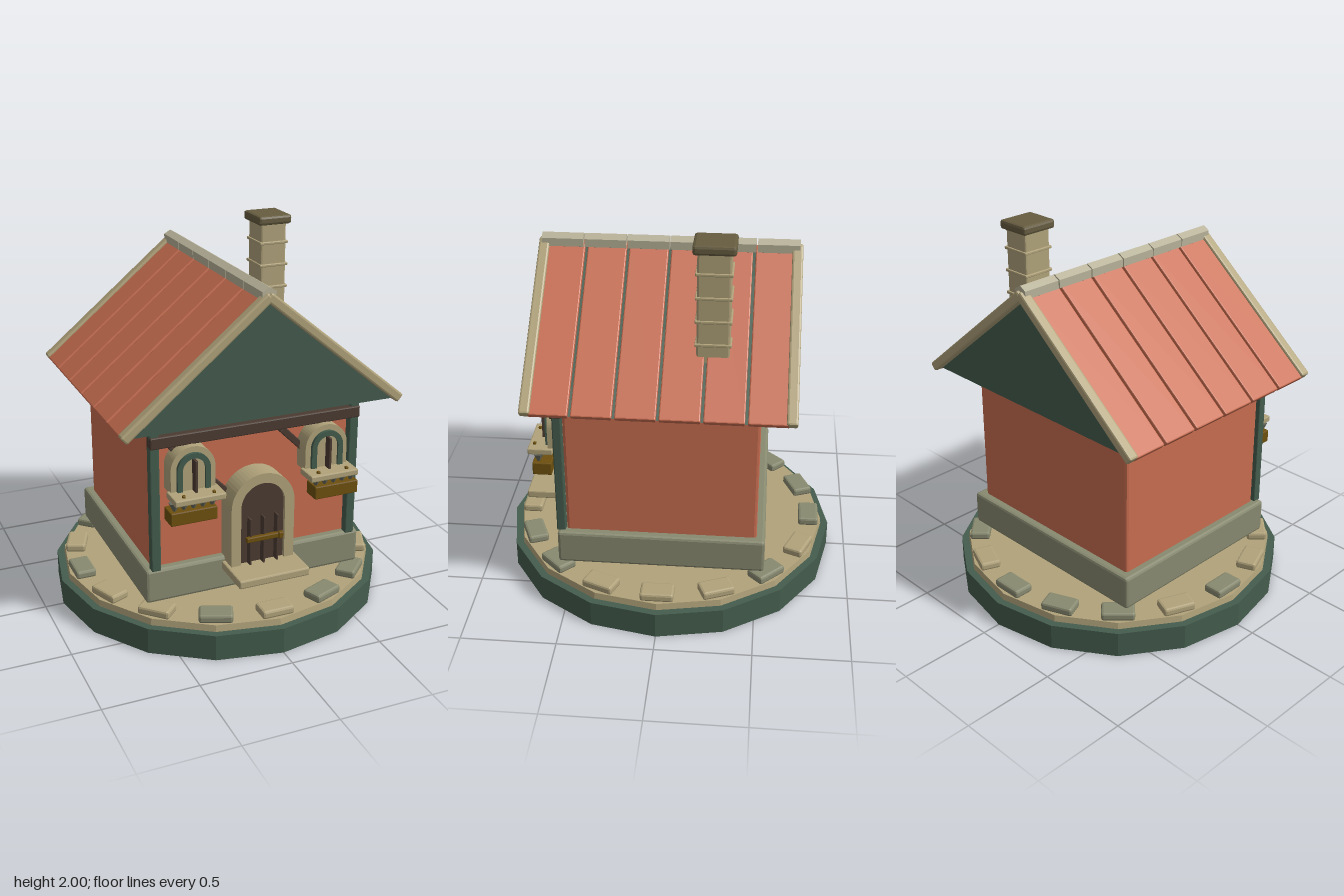
import * as THREE from 'three';
import { RoundedBoxGeometry } from 'three/addons/geometries/RoundedBoxGeometry.js';

const mat = (name, color) => {
  const m = new THREE.MeshStandardMaterial({ color });
  m.name = name;
  return m;
};

export function createModel() {
  const model = new THREE.Group();
  model.name = 'cottage';
  const terracotta = mat('terracotta', 0xc86d50);
  const green = mat('darkGreen', 0x445c4d);
  const tan = mat('sandstone', 0xb0a27a);
  const stone = mat('greyStone', 0x888a70);
  const wood = mat('darkWood', 0x4b3b31);
  const brass = mat('brass', 0x6e500e);
  const cap = mat('chimneyCap', 0x665c40);
  const pale = mat('paleRidge', 0xb8b299);
  const leaf = mat('plantGrey', 0x686a5c);

  const add = (parent, name, geo, material, x = 0, y = 0, z = 0) => {
    const m = new THREE.Mesh(geo, material);
    m.name = name;
    m.position.set(x, y, z);
    parent.add(m);
    return m;
  };
  const flat = (geo) => {
    const g = geo.index ? geo.toNonIndexed() : geo;
    g.computeVertexNormals();
    return g;
  };
  // Box given by size, with a small chamfer
  const block = (w, h, d, bevel = 0.006) => flat(new RoundedBoxGeometry(w, h, d, 1, bevel));
  const cyl = (r0, r1, h, n) => flat(new THREE.CylinderGeometry(r0, r1, h, n));
  // Solid arched panel
  const archPanel = (r, y0, spring, depth) => {
    const s = new THREE.Shape();
    s.moveTo(-r, y0);
    s.lineTo(r, y0);
    s.lineTo(r, spring);
    s.absarc(0, spring, r, 0, Math.PI, false);
    s.closePath();
    return new THREE.ExtrudeGeometry(s, { depth, bevelEnabled: false, curveSegments: 14 });
  };
  // Arched surround, open at the bottom
  const archFrame = (ro, ri, y0, spring, depth) => {
    const s = new THREE.Shape();
    s.moveTo(ri, y0);
    s.lineTo(ro, y0);
    s.lineTo(ro, spring);
    s.absarc(0, spring, ro, 0, Math.PI, false);
    s.lineTo(-ro, y0);
    s.lineTo(-ri, y0);
    s.lineTo(-ri, spring);
    s.absarc(0, spring, ri, Math.PI, 0, true);
    s.closePath();
    return new THREE.ExtrudeGeometry(s, { depth, bevelEnabled: false, curveSegments: 14 });
  };

  // Round base with a ring of paving stones
  add(model, 'base', cyl(0.9, 0.9, 0.14, 16), green, 0, 0.07);
  add(model, 'basePaving', cyl(0.855, 0.86, 0.035, 16), tan, 0, 0.1575);
  const tanStones = [0, 3, 4, 5, 7, 11, 13, 14];
  for (let i = 0; i < 16; i++) {
    const a = (i * Math.PI) / 8;
    const p = add(model, 'pavingStone', block(0.175, 0.045, 0.11, 0.012), tanStones.includes(i) ? tan : stone,
      Math.sin(a) * 0.785, 0.197, Math.cos(a) * 0.785);
    p.rotation.y = a;
  }

  // Plinth, walls and front timbers
  add(model, 'plinth', block(1.21, 0.185, 1.09, 0.015), stone, 0, 0.3175);
  add(model, 'walls', block(1.12, 0.8, 1.0, 0.015), terracotta, 0, 0.785);
  add(model, 'frontBeam', block(1.15, 0.062, 0.058), wood, 0, 1.107, 0.532);
  for (const s of [-1, 1]) {
    add(model, 'cornerPost', block(0.05, 0.79, 0.047), green, s * 0.55, 0.8, 0.527);
    const brace = add(model, 'brace', block(0.43, 0.036, 0.03, 0.004), wood, s * 0.3, 0.91, 0.512);
    brace.rotation.z = -Math.PI / 4;
  }

  // Roof core
  const gable = new THREE.Shape();
  gable.moveTo(-0.73, 1.185);
  gable.lineTo(0.73, 1.185);
  gable.lineTo(0, 1.79);
  gable.closePath();
  add(model, 'gableBody', new THREE.ExtrudeGeometry(gable, { depth: 1.26, bevelEnabled: false }), green, 0, 0, -0.63);

  // Roof panels and rake boards on both slopes
  const pitch = Math.atan2(0.62, 0.75);
  const slopeLength = Math.hypot(0.62, 0.75);
  for (const s of [-1, 1]) {
    const slope = new THREE.Group();
    slope.name = s > 0 ? 'leftRoofSlope' : 'rightRoofSlope';
    slope.position.set(s * 0.375, 1.51, 0);
    slope.rotation.z = -s * pitch;
    model.add(slope);
    for (let i = 0; i < 6; i++) {
      add(slope, 'roofPanel', block(slopeLength, 0.035, 0.2), terracotta, 0, -0.0175, (i - 2.5) * 0.2145);
    }
    for (const e of [-1, 1]) {
      add(slope, 'rakeBoard', block(slopeLength, 0.05, 0.055, 0.01), tan, 0, -0.01, e * 0.6475);
    }
  }
  // Ridge caps
  for (let i = 0; i < 6; i++) {
    const r = add(model, 'ridgeCap', cyl(0.042, 0.042, 0.214, 6), pale, 0, 1.813, (i - 2.5) * 0.221);
    r.rotation.x = Math.PI / 2;
  }

  // Chimney
  const chimney = new THREE.Group();
  chimney.name = 'chimney';
  chimney.position.set(0.413, 0, -0.25);
  model.add(chimney);
  add(chimney, 'chimneyStack', block(0.15, 0.6, 0.165, 0.01), tan, 0, 1.67);
  for (let i = 0; i < 4; i++) {
    add(chimney, 'chimneyBand', block(0.166, 0.016, 0.182, 0.004), tan, 0, 1.48 + i * 0.123);
  }
  add(chimney, 'chimneyCap', block(0.195, 0.05, 0.21, 0.014), cap, 0, 1.975);

  // Door
  const door = new THREE.Group();
  door.name = 'door';
  model.add(door);
  add(door, 'doorSurround', archFrame(0.175, 0.122, 0.385, 0.71, 0.13), tan, 0, 0, 0.5);
  add(door, 'doorLeaf', archPanel(0.122, 0.385, 0.71, 0.11), wood, 0, 0, 0.5);
  for (const x of [-0.075, 0, 0.075]) {
    add(door, 'doorBatten', block(0.01, 0.26, 0.04, 0.002), wood, x, 0.52, 0.628);
  }
  add(door, 'doorLatch', block(0.205, 0.027, 0.025, 0.004), brass, 0, 0.54, 0.65);
  add(door, 'latchKnob', block(0.024, 0.035, 0.02, 0.004), brass, 0.085, 0.54, 0.66);
  add(door, 'doorStep', block(0.39, 0.045, 0.24, 0.008), tan, 0, 0.367, 0.665);

  // Arched windows with flower boxes
  for (const s of [-1, 1]) {
    const win = new THREE.Group();
    win.name = s > 0 ? 'leftWindow' : 'rightWindow';
    win.position.x = s * 0.367;
    model.add(win);
    add(win, 'windowFrame', archFrame(0.118, 0.085, 0.84, 0.962, 0.095), tan, 0, 0, 0.5);
    add(win, 'windowTrim', archFrame(0.088, 0.06, 0.84, 0.962, 0.112), green, 0, 0, 0.5);
    add(win, 'windowPane', archPanel(0.062, 0.84, 0.962, 0.1), tan, 0, 0, 0.5);
    add(win, 'windowMullion', block(0.014, 0.17, 0.045, 0.002), wood, 0, 0.935, 0.62);
    add(win, 'windowSill', block(0.268, 0.034, 0.13, 0.006), tan, 0, 0.835, 0.635);
    add(win, 'flowerBox', block(0.245, 0.07, 0.1, 0.005), brass, s * 0.026, 0.742, 0.625);
    for (let i = 0; i < 5; i++) {
      const x = s * 0.02 + (i - 2) * 0.05;
      add(win, 'plant', cyl(0.03, 0.006, 0.05, 6), leaf, x, 0.797, 0.645);
    }
    for (const x of [-0.08, 0.08]) {
      add(win, 'sillPeg', block(0.016, 0.014, 0.016, 0.003), brass, x, 0.857, 0.67);
    }
  }
  return model;
}
